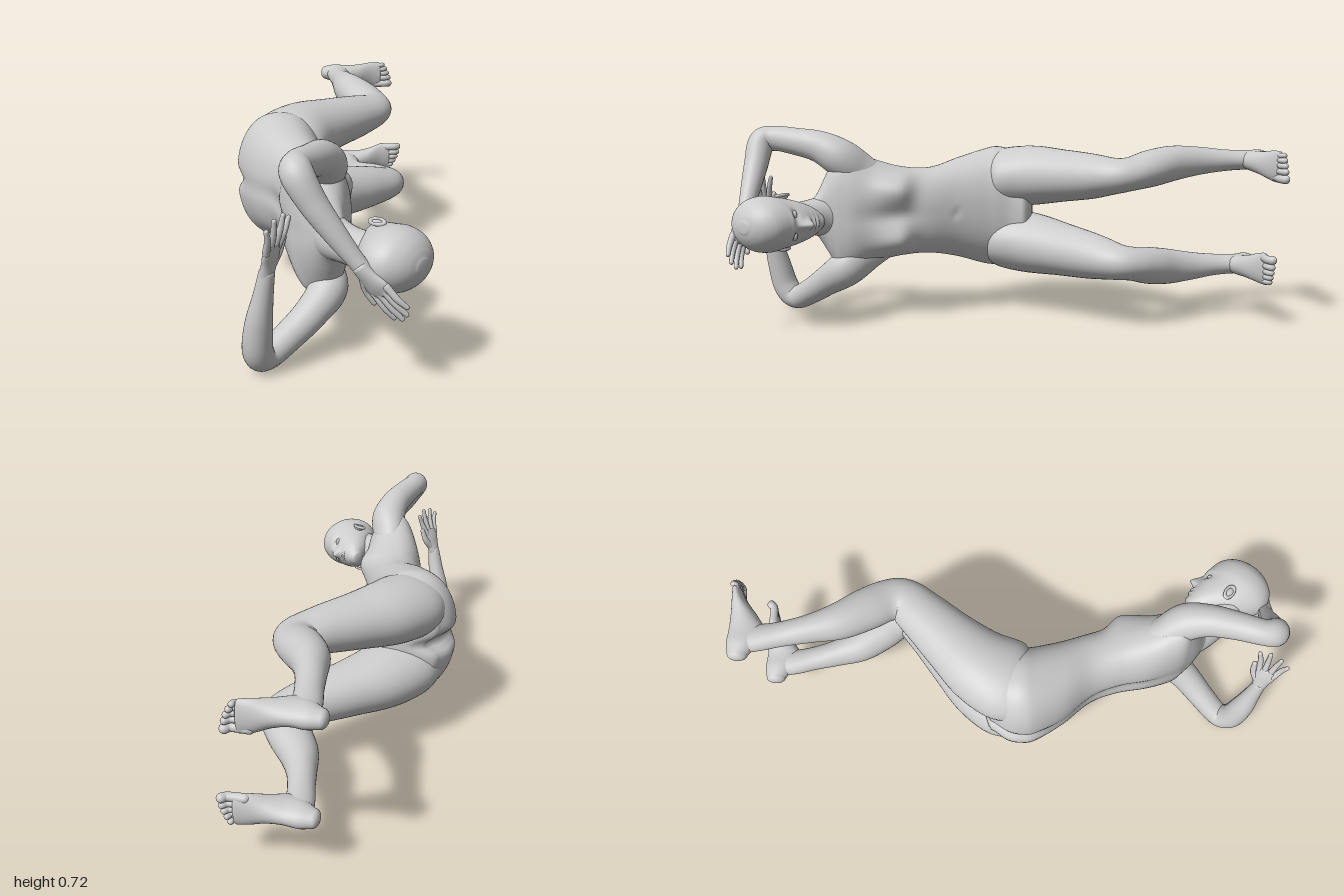
import * as THREE from 'three';

const V = (x, y, z) => new THREE.Vector3(x, y, z);
const MID = 0.39; // height of the body's plane of symmetry
const material = new THREE.MeshStandardMaterial({ color: 0xcccccc });
const bump = (d, w) => Math.exp(-(d * d) / (w * w));

// Smooth closed skin over oval stations [x, y, z, halfWidth, halfDepth]
function loft(name, stations, o = {}) {
  const { ref = V(0, 1, 0), axis, rings = 40, sides = 32, power = 1, dome = [1, 1], shape } = o;
  const path = new THREE.CatmullRomCurve3(stations.map(s => V(s[0], s[1], s[2])), false, 'catmullrom');
  const size = new THREE.CatmullRomCurve3(stations.map(s => V(s[3], s[4], 0)), false, 'catmullrom');
  const rows = [], D = 6;
  for (let i = D - 1; i > 0; i--) rows.push([0, -Math.sin(i / D * Math.PI / 2) * dome[0], Math.cos(i / D * Math.PI / 2)]);
  for (let i = 0; i <= rings; i++) rows.push([i / rings, 0, 1]);
  for (let i = 1; i < D; i++) rows.push([1, Math.sin(i / D * Math.PI / 2) * dome[1], Math.cos(i / D * Math.PI / 2)]);
  const pos = [], idx = [];
  const put = p => { if (shape) shape(p); pos.push(p.x, p.y, p.z); };
  const pw = c => Math.sign(c) * Math.abs(c) ** power;
  const frame = t => {
    const tan = axis ? axis.clone() : path.getTangent(t);
    const u = ref.clone().addScaledVector(tan, -ref.dot(tan)).normalize();
    return { c: path.getPoint(t), s: size.getPoint(t), tan, u, v: tan.clone().cross(u) };
  };
  for (const [t, off, k] of rows) {
    const { c, s, tan, u, v } = frame(t);
    c.addScaledVector(tan, off * Math.min(s.x, s.y));
    for (let j = 0; j < sides; j++) {
      const a = j / sides * Math.PI * 2;
      put(c.clone().addScaledVector(u, s.x * k * pw(Math.cos(a))).addScaledVector(v, s.y * k * pw(Math.sin(a))));
    }
  }
  for (const e of [0, 1]) {
    const { c, s, tan } = frame(e);
    put(c.addScaledVector(tan, (e ? 1 : -1) * dome[e] * Math.min(s.x, s.y)));
  }
  const n = rows.length;
  for (let j = 0; j < sides; j++) {
    const k = (j + 1) % sides, last = (n - 1) * sides;
    for (let i = 0; i < n - 1; i++) {
      const a = i * sides + j, b = i * sides + k;
      idx.push(a, b, a + sides, b, b + sides, a + sides);
    }
    idx.push(n * sides, k, j, n * sides + 1, last + j, last + k);
  }
  const g = new THREE.BufferGeometry();
  g.setAttribute('position', new THREE.Float32BufferAttribute(pos, 3));
  g.setIndex(idx);
  g.computeVertexNormals();
  const mesh = new THREE.Mesh(g, material);
  mesh.name = name;
  return mesh;
}

function named(name, ...parts) {
  const g = new THREE.Group();
  g.name = name;
  g.add(...parts);
  return g;
}

function ball(name, p, s) {
  const m = new THREE.Mesh(new THREE.SphereGeometry(1, 20, 14), material);
  m.name = name;
  m.position.set(...p);
  m.scale.set(...s);
  return m;
}

function orient(group, origin, x, y) {
  const z = x.clone().cross(y).normalize();
  group.applyMatrix4(new THREE.Matrix4().makeBasis(y.clone().cross(z), y, z).setPosition(origin));
  return group;
}

// Torso from [z, back x, front x, low y, high y], with chest, seat and spine modelled in
function makeTorso() {
  const rows = [
    [-0.05, -0.312, -0.035, 0.185, 0.60], [0.0, -0.345, -0.042, 0.169, 0.618], [0.05, -0.354, -0.035, 0.165, 0.627],
    [0.1, -0.345, -0.026, 0.172, 0.617], [0.2, -0.287, 0.0, 0.207, 0.588], [0.3, -0.205, 0.035, 0.231, 0.558],
    [0.4, -0.165, 0.058, 0.23, 0.562], [0.5, -0.145, 0.083, 0.208, 0.59], [0.57, -0.122, 0.097, 0.175, 0.622],
    [0.62, -0.1, 0.095, 0.165, 0.635], [0.65, -0.078, 0.09, 0.205, 0.60], [0.68, -0.052, 0.085, 0.26, 0.54],
    [0.71, -0.015, 0.09, 0.315, 0.475], [0.74, 0.025, 0.105, 0.345, 0.435]];
  const shape = p => {
    const dy = Math.abs(p.y - MID), z = p.z;
    const mid = THREE.MathUtils.lerp(-0.19, 0.02, THREE.MathUtils.clamp(z / 0.6, 0, 1));
    if (p.x > mid) {
      const f = Math.min(1, (p.x - mid) / 0.06);
      p.x += f * (0.042 * bump(dy - 0.103, 0.064) * bump(z - 0.4, z < 0.4 ? 0.04 : 0.095) - 0.008 * bump(dy, 0.03) * bump(z - 0.45, 0.1));
      p.x -= f * 0.008 * bump(dy, 0.012) * bump(z - 0.2, 0.012);
    } else {
      const f = Math.min(1, (mid - p.x) / 0.08);
      p.x += f * (0.055 * bump(dy, 0.028) * bump(z + 0.03, 0.12) + 0.012 * bump(dy, 0.03) * bump(z - 0.4, 0.2));
    }
  };
  return loft('torso', rows.map(([z, b, f, l, h]) => [(b + f) / 2, (l + h) / 2, z, (h - l) / 2, (f - b) / 2]),
    { axis: V(0, 0, 1), power: 0.88, rings: 100, sides: 96, dome: [0.3, 0.3], shape });
}

// Leg and foot; s picks the upper or lower side, the lower leg swings slightly forward
function makeLeg(s) {
  const low = s < 0 ? 1 : 0;
  const leg = [
    [-0.195, 0.105, 0.1, 0.08, 0.1], [-0.19, 0.115, 0.05, 0.1, 0.13], [-0.17, 0.122, -0.01, 0.114, 0.15],
    [-0.122, 0.131, -0.1, 0.113, 0.137], [-0.038, 0.138, -0.2, 0.098, 0.113], [0.054, 0.145, -0.3, 0.083, 0.094],
    [0.115, 0.152, -0.375, 0.066, 0.082], [0.115, 0.16, -0.435, 0.061, 0.077], [0.073, 0.175, -0.51, 0.067, 0.077],
    [0.022, 0.189, -0.6, 0.065, 0.067], [-0.01, 0.195, -0.7, 0.053, 0.051], [-0.032, 0.195, -0.8, 0.041, 0.045],
    [-0.045, 0.195, -0.87, 0.037, 0.048], [-0.052, 0.195, -0.93, 0.036, 0.052]];
  const place = ([x, d, z, a, b]) => {
    const k = low * THREE.MathUtils.clamp((0.05 - z) / 0.4, 0, 1), f = low * THREE.MathUtils.clamp((-0.4 - z) / 0.45, 0, 1);
    return [x + 0.056 * k - 0.01 * f, MID + s * d, z + 0.05 * f, a, b];
  };
  const foot = [
    [-0.112, 0.195, -0.95, 0.029, 0.036], [-0.07, 0.195, -0.938, 0.038, 0.055], [-0.02, 0.194, -0.925, 0.038, 0.064],
    [0.035, 0.19, -0.94, 0.044, 0.048], [0.09, 0.185, -0.961, 0.056, 0.028], [0.13, 0.184, -0.971, 0.057, 0.018]];
  const g = named(s > 0 ? 'leftLeg' : 'rightLeg',
    loft('leg', leg.map(place), { rings: 90, sides: 40, dome: [0.5, 0.5] }),
    loft('foot', foot.map(place), { axis: V(1, 0, 0), dome: [0.7, 0.6] }));
  // Toes, the big one on the inner side
  [[0.143, 0.188, 0.0165], [0.169, 0.183, 0.0125], [0.19, 0.176, 0.0115], [0.209, 0.167, 0.011], [0.227, 0.156, 0.0105]]
    .forEach(([d, tip, r]) => g.add(loft('toe', [
      [0.1, d, -0.968, r, r], [(0.1 + tip) / 2 + 0.01, d, -0.969, r * 0.9, r * 0.9],
      [tip - r, d, -0.981, r, r]].map(place), { rings: 10, sides: 14 })));
  return g;
}

// Hand in its own frame: fingers along +y, thumb toward +x
function makeHand(spread) {
  const opt = { ref: V(1, 0, 0), rings: 14, sides: 14 };
  const g = named('hand', loft('palm', [
    [0, -0.015, 0, 0.024, 0.022], [0.002, 0.025, 0, 0.031, 0.019], [0.002, 0.06, 0, 0.039, 0.016], [0, 0.088, 0, 0.037, 0.011]],
  { ref: V(1, 0, 0), dome: [0.5, 0.8] }));
  [[0.028, 0.085], [0.01, 0.099], [-0.01, 0.093], [-0.028, 0.073]].forEach(([x, len]) => {
    const a = x * spread, dx = Math.sin(a) * len, dy = Math.cos(a) * len;
    g.add(loft('finger', [[x, 0.075, 0, 0.0115, 0.0115], [x + dx * 0.5, 0.085 + dy * 0.5, 0.004, 0.01, 0.01],
      [x + dx, 0.085 + dy, 0, 0.0075, 0.0075]], opt));
  });
  g.add(loft('thumb', [[0.015, 0.02, 0, 0.017, 0.016], [0.043, 0.055, 0, 0.013, 0.012], [0.054, 0.1, 0, 0.009, 0.009]], opt));
  return g;
}

function makeArms() {
  const o = { rings: 80, sides: 40, dome: [0.8, 0.6] };
  const upper = named('leftArm', loft('arm', [
    [-0.005, 0.515, 0.48, 0.035, 0.05], [0.005, 0.555, 0.555, 0.055, 0.068], [0.02, 0.603, 0.625, 0.066, 0.07],
    [0.01, 0.642, 0.7, 0.057, 0.059], [-0.015, 0.66, 0.79, 0.05, 0.05], [-0.042, 0.67, 0.875, 0.046, 0.046],
    [-0.037, 0.655, 0.922, 0.05, 0.048], [0.01, 0.575, 0.936, 0.043, 0.043], [0.065, 0.5, 0.945, 0.036, 0.036],
    [0.12, 0.43, 0.953, 0.028, 0.028], [0.155, 0.388, 0.96, 0.025, 0.023]], { ...o, ref: V(0.73, 0.59, 0) }),
  orient(makeHand(3), V(0.153, 0.388, 0.965), V(-0.65, -0.55, -0.5), V(0.66, -0.75, 0.02).normalize()));
  const lower = named('rightArm', loft('arm', [
    [-0.005, 0.265, 0.48, 0.035, 0.05], [0.005, 0.235, 0.55, 0.053, 0.068], [0.025, 0.188, 0.615, 0.064, 0.068],
    [-0.02, 0.135, 0.69, 0.055, 0.056], [-0.085, 0.083, 0.76, 0.049, 0.049], [-0.15, 0.045, 0.83, 0.046, 0.045],
    [-0.168, 0.083, 0.872, 0.048, 0.047], [-0.16, 0.18, 0.897, 0.043, 0.042], [-0.142, 0.28, 0.915, 0.031, 0.031],
    [-0.128, 0.36, 0.927, 0.024, 0.024]], { ...o, ref: V(0.8, 0.1, -0.5) }),
  orient(makeHand(12), V(-0.128, 0.36, 0.927), V(0.45, 0, -0.9), V(0.22, 0.96, 0.13).normalize()));
  return [upper, lower];
}

// Head in its own frame: +y crown, +z face
function makeHead() {
  const skull = [
    [-0.131, 0.078, 0.028, 0.026], [-0.115, 0.06, 0.046, 0.048], [-0.09, 0.042, 0.063, 0.07], [-0.05, 0.013, 0.08, 0.101],
    [0, -0.012, 0.093, 0.122], [0.04, -0.018, 0.099, 0.126], [0.08, -0.018, 0.091, 0.115], [0.11, -0.016, 0.071, 0.09],
    [0.128, -0.015, 0.047, 0.06], [0.137, -0.015, 0.024, 0.03]].map(([y, z, a, b]) => [0, y, z, a, b]);
  const shape = p => {
    if (p.z < 0.03) return;
    const x = Math.abs(p.x), y = p.y, f = Math.min(1, (p.z - 0.03) / 0.04);
    const nose = y < -0.043 ? bump(y + 0.043, 0.011) : bump(y + 0.043, 0.033);
    p.z += f * (0.028 * nose * bump(x, 0.012 + 0.006 * bump(y + 0.045, 0.015))
      - 0.013 * bump(x - 0.036, 0.02) * bump(y + 0.005, 0.014) + 0.004 * bump(x - 0.03, 0.03) * bump(y - 0.018, 0.01)
      + 0.008 * bump(x, 0.026) * (bump(y + 0.073, 0.006) + bump(y + 0.088, 0.007))
      - 0.004 * bump(x, 0.028) * bump(y + 0.08, 0.003) + 0.006 * bump(x, 0.025) * bump(y + 0.115, 0.012));
  };
  const g = named('head', loft('skull', skull, { ref: V(1, 0, 0), axis: V(0, 1, 0), rings: 110, sides: 112, dome: [0.3, 0.14], shape }));
  for (const s of [-1, 1]) {
    g.add(ball('eye', [s * 0.036, -0.005, 0.084], [0.017, 0.009, 0.012]));
    const rim = new THREE.Mesh(new THREE.TorusGeometry(0.019, 0.006, 10, 24), material);
    rim.name = 'earRim';
    rim.scale.set(0.8, 1.3, 1);
    rim.position.set(s * 0.094, -0.037, -0.01);
    rim.rotation.y = s * (Math.PI / 2 + 0.25);
    g.add(rim, ball('earBowl', [s * 0.089, -0.037, -0.008], [0.009, 0.024, 0.017]));
  }
  return orient(g, V(0.222, MID, 0.826), V(0, 1, 0), V(0.8, 0, 0.6));
}

export function createModel() {
  const neck = loft('neck', [[0.015, MID, 0.62, 0.1, 0.06], [0.045, MID, 0.69, 0.076, 0.06],
    [0.095, MID, 0.755, 0.061, 0.06], [0.16, MID, 0.82, 0.06, 0.06]], { dome: [0.5, 0.5] });
  return named('recliningFigure', makeTorso(), neck, makeHead(), makeLeg(1), makeLeg(-1), ...makeArms());
}
